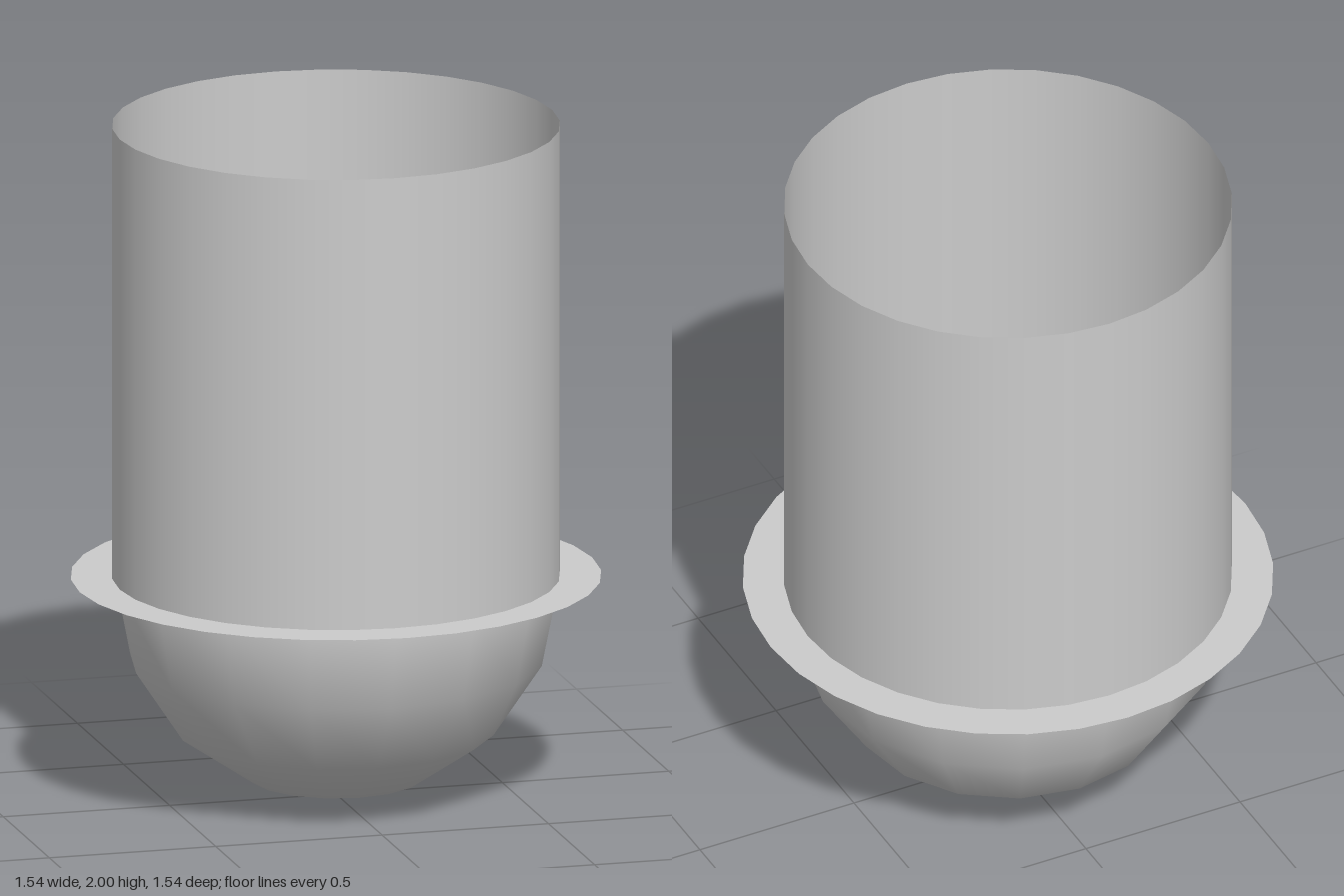
import * as THREE from 'three';

const RADIUS = 0.65;      // shared by the bulb and the tube
const RIM_Y = 0.655;      // height where tube and flange meet
const TOP_Y = 2;

export function createModel() {
  const model = new THREE.Group();
  const material = new THREE.MeshStandardMaterial({ color: 0xcccccc, side: THREE.DoubleSide });

  const add = (name, geometry, y) => {
    const mesh = new THREE.Mesh(geometry, material);
    mesh.name = name;
    mesh.position.y = y;
    model.add(mesh);
  };

  // Rounded bulb, its upper half hidden inside the tube
  add('bulb', new THREE.SphereGeometry(RADIUS, 16, 8), RADIUS);

  // Thin tube, open at both ends
  const height = TOP_Y - RIM_Y;
  add('tube', new THREE.CylinderGeometry(RADIUS, RADIUS, height, 32, 1, true), RIM_Y + height / 2);

  // Flat flange around the base of the tube
  add('flange', new THREE.RingGeometry(0.6, 0.77, 32).rotateX(-Math.PI / 2), RIM_Y);

  return model;
}
